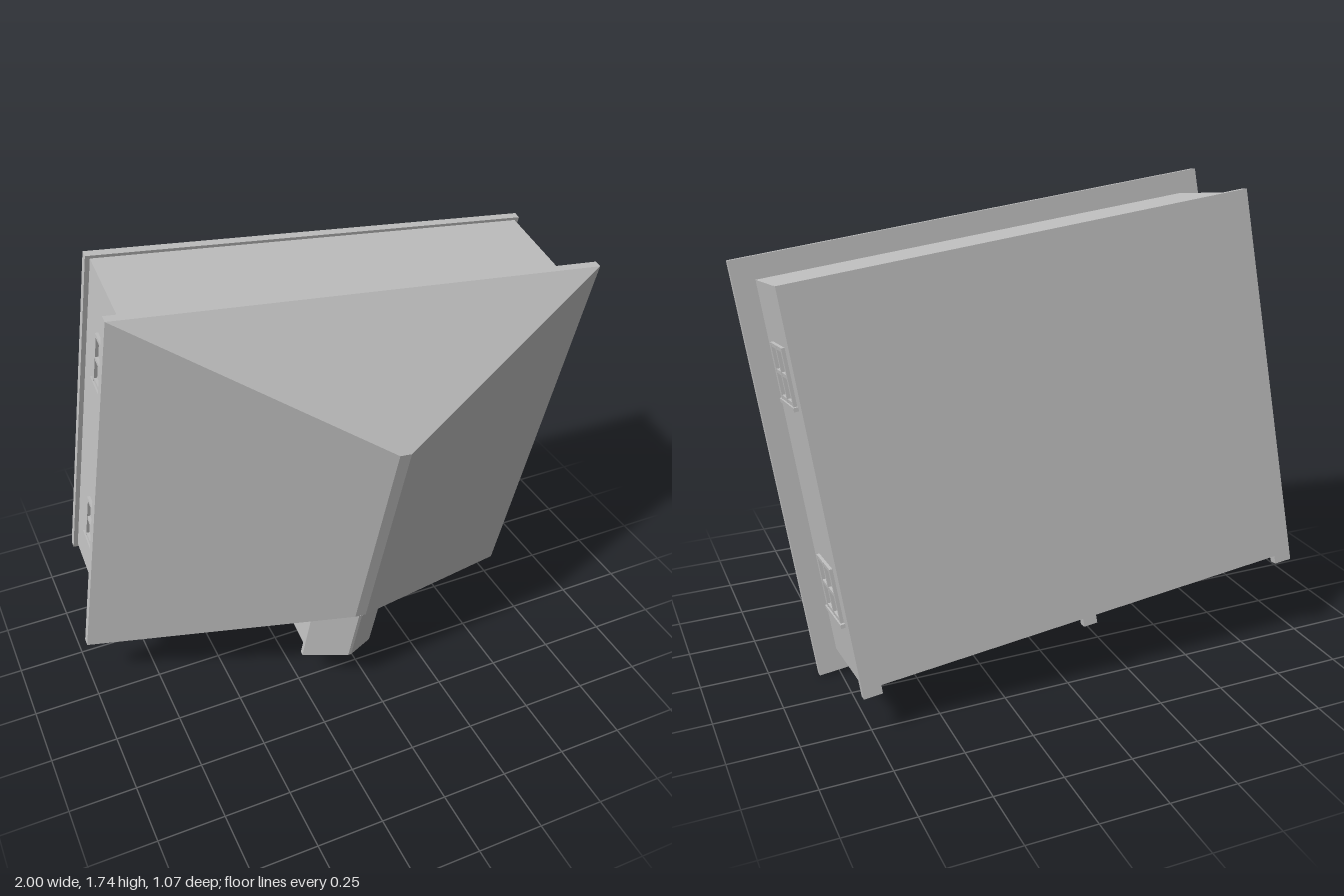
import * as THREE from 'three';

const grey = new THREE.MeshStandardMaterial({ color: 0xc0c0c0 });
grey.name = 'plain grey';

function add(parent, name, geometry, x = 0, y = 0, z = 0) {
  const mesh = new THREE.Mesh(geometry, grey);
  mesh.name = name;
  mesh.position.set(x, y, z);
  parent.add(mesh);
  return mesh;
}

// Box given by its limits on each axis
function block(parent, name, [x0, x1], [y0, y1], [z0, z1]) {
  return add(parent, name, new THREE.BoxGeometry(x1 - x0, y1 - y0, z1 - z0),
    (x0 + x1) / 2, (y0 + y1) / 2, (z0 + z1) / 2);
}

// Solid hipped roof lofted through rectangular rings: [halfWidth, y, zBack, zFront]
function hipRoof(rings) {
  const loops = rings.map(([w, y, b, f]) => [[-w, y, f], [w, y, f], [w, y, b], [-w, y, b]]);
  const pos = [];
  const quad = (a, b, c, d) => pos.push(...a, ...b, ...c, ...a, ...c, ...d);
  for (let r = 0; r < loops.length - 1; r++) {
    const lo = loops[r], hi = loops[r + 1];
    for (let i = 0; i < 4; i++) {
      const j = (i + 1) % 4;
      quad(lo[i], lo[j], hi[j], hi[i]);
    }
  }
  quad(...loops[loops.length - 1]);
  quad(...[...loops[0]].reverse());
  const g = new THREE.BufferGeometry();
  g.setAttribute('position', new THREE.Float32BufferAttribute(pos, 3));
  g.computeVertexNormals();
  return g;
}

// Four-pane window facing +z, sill towards -y
function makeWindow(w, h, bar, depth) {
  const g = new THREE.Group();
  g.name = 'window';
  const x = w / 2, y = h / 2;
  for (const s of [-1, 0, 1]) {
    const cx = s * (x - bar / 2), cy = s * (y - bar / 2);
    block(g, 'windowUpright', [cx - bar / 2, cx + bar / 2], [-y, y], [-0.002, depth]);
    block(g, 'windowRail', [-x, x], [cy - bar / 2, cy + bar / 2], [-0.002, depth - 0.001]);
  }
  block(g, 'windowSill', [-x - 0.015, x + 0.015], [-y - bar, -y], [-0.002, depth + 0.005]);
  return g;
}

// Door leaf facing +z, with a frame and one diagonal brace
function makeDoorLeaf(w, h, side) {
  const g = new THREE.Group();
  g.name = 'doorLeaf';
  const x = w / 2, y = h / 2, b = 0.032, d = 0.012;
  for (const s of [-1, 1]) {
    const cx = s * (x - b / 2), cy = s * (y - b / 2);
    block(g, 'doorStile', [cx - b / 2, cx + b / 2], [-y, y], [-0.002, d]);
    block(g, 'doorRail', [-x + b, x - b], [cy - b / 2, cy + b / 2], [-0.002, d]);
  }
  const iw = w - 2 * b, ih = h - 2 * b;
  const brace = add(g, 'doorBrace', new THREE.BoxGeometry(Math.hypot(iw, ih) - 0.02, b, d), 0, 0, d / 2 - 0.001);
  brace.rotation.z = side * Math.atan2(ih, iw);
  return g;
}

export function createModel() {
  const model = new THREE.Group();
  model.name = 'garage';
  const house = new THREE.Group();
  house.name = 'building';
  model.add(house);

  // Walls and floor slab
  block(house, 'walls', [-0.841, 0.841], [-0.545, -0.11], [-0.698, 0.68]);
  block(house, 'floorSlab', [-0.858, 0.858], [-0.568, -0.538], [-0.709, 0.68]);

  // Posts beside the doors, with slab tabs at their feet
  for (const [x0, x1] of [[-0.841, -0.79], [-0.02, 0.02], [0.79, 0.841]]) {
    block(house, 'doorPost', [x0, x1], [-0.54, -0.11], [0.67, 0.696]);
  }
  for (const [x0, x1] of [[-0.858, -0.79], [-0.026, 0.026], [0.79, 0.858]]) {
    block(house, 'slabTab', [x0, x1], [-0.568, -0.538], [0.67, 0.711]);
  }
  block(house, 'doorLintel', [-0.84, 0.84], [-0.135, -0.112], [0.67, 0.695]);

  // Two pairs of braced doors
  [-0.595, -0.215, 0.215, 0.595].forEach((x, i) => {
    const leaf = makeDoorLeaf(0.372, 0.39, i % 2 ? 1 : -1);
    leaf.position.set(x, -0.336, 0.68);
    house.add(leaf);
  });

  // Two windows on each side wall
  for (const s of [-1, 1]) {
    for (const z of [-0.39, 0.39]) {
      const win = makeWindow(0.2, 0.2, 0.014, 0.012);
      win.quaternion.setFromRotationMatrix(new THREE.Matrix4().makeBasis(
        new THREE.Vector3(0, -s, 0), new THREE.Vector3(0, 0, -1), new THREE.Vector3(s, 0, 0)));
      win.position.set(s * 0.841, -0.303, z);
      house.add(win);
    }
  }

  // Main hipped roof with a narrow flat ridge
  add(house, 'mainRoof', hipRoof([
    [0.921, -0.115, -0.78, 0.78],
    [0.921, -0.085, -0.78, 0.78],
    [0.022, 0.332, -0.413, 0.413],
  ]));

  // Dormer above the doors
  block(house, 'dormerWalls', [-0.125, 0.125], [-0.03, 0.225], [0.4, 0.712]);
  add(house, 'dormerRoof', hipRoof([
    [0.147, 0.216, 0.413, 0.722],
    [0.147, 0.233, 0.413, 0.722],
    [0.006, 0.333, 0.413, 0.647],
  ]));
  const dormerWindow = makeWindow(0.15, 0.13, 0.012, 0.01);
  dormerWindow.position.set(0, 0.115, 0.712);
  house.add(dormerWindow);

  // Tip the building back so the roof faces forward and the doors face down
  const across = new THREE.Vector3(0.9938, -0.1113, 0).normalize();
  const doors = new THREE.Vector3(-0.109, -0.981, -0.16);
  doors.addScaledVector(across, -doors.dot(across)).normalize();
  const up = new THREE.Vector3().crossVectors(doors, across);
  house.quaternion.setFromRotationMatrix(new THREE.Matrix4().makeBasis(across, up, doors));
  house.position.copy(across).multiplyScalar(-0.098).addScaledVector(doors, -0.859);
  return model;
}
